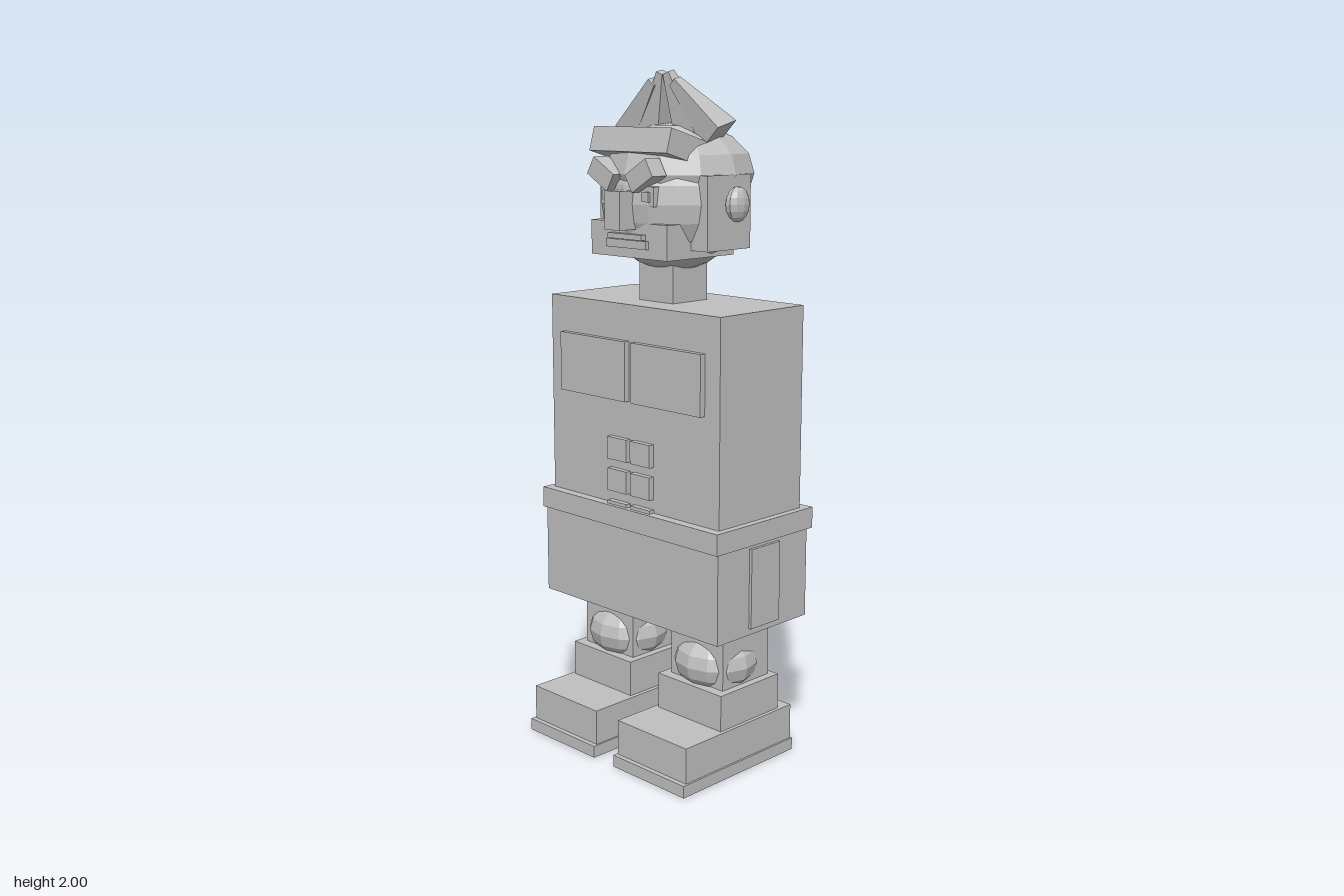
import * as THREE from 'three';

export function createModel() {
  const model = new THREE.Group();
  const plain = new THREE.MeshStandardMaterial({ color: 0xbfbfbf, flatShading: true });
  plain.name = 'plain grey';

  function add(name, geometry, x = 0, y = 0, z = 0) {
    const mesh = new THREE.Mesh(geometry, plain);
    mesh.name = name;
    mesh.position.set(x, y, z);
    model.add(mesh);
    return mesh;
  }
  // Box given by its limits on each axis
  function box(name, x0, x1, y0, y1, z0, z1) {
    return add(name, new THREE.BoxGeometry(x1 - x0, y1 - y0, z1 - z0),
      (x0 + x1) / 2, (y0 + y1) / 2, (z0 + z1) / 2);
  }
  // Box repeated on both sides of the body
  function pair(name, x0, x1, ...rest) {
    box(name + 'Left', x0, x1, ...rest);
    box(name + 'Right', -x1, -x0, ...rest);
  }
  function ellipsoid(name, x, y, z, rx, ry, rz, segments, rows) {
    return add(name, new THREE.SphereGeometry(1, segments, rows).scale(rx, ry, rz), x, y, z);
  }
  // Four-sided tapered lock of hair running from base to tip
  function spike(name, base, tip, baseHalf, tipHalf) {
    const direction = tip.clone().sub(base);
    const geometry = new THREE.CylinderGeometry(
      tipHalf * Math.SQRT2, baseHalf * Math.SQRT2, direction.length(), 4).rotateY(Math.PI / 4);
    const mesh = add(name, geometry);
    mesh.position.copy(base).add(tip).multiplyScalar(0.5);
    mesh.quaternion.setFromUnitVectors(new THREE.Vector3(0, 1, 0), direction.normalize());
  }

  // Torso with pockets and buttons
  box('torso', -0.345, 0.345, 0.75, 1.35, -0.2, 0.142);
  pair('chestPocket', 0.012, 0.288, 1.07, 1.245, 0.13, 0.16);
  for (const y of [0.7, 0.797, 0.892]) pair('button', 0.008, 0.088, y, y + 0.067, 0.13, 0.16);

  // Belt and skirt with side pockets
  box('belt', -0.366, 0.366, 0.695, 0.757, -0.233, 0.172);
  box('skirt', -0.36, 0.36, 0.43, 0.695, -0.215, 0.162);
  pair('sidePocket', 0.35, 0.369, 0.45, 0.685, -0.088, 0.032);

  // Legs and boots
  pair('leg', 0.083, 0.292, 0.24, 0.44, -0.13, 0.065);
  for (const s of [-1, 1])
    ellipsoid('knee', s * 0.187, 0.303, -0.015, 0.128, 0.092, 0.12, 12, 8);
  pair('bootShaft', 0.06, 0.315, 0.14, 0.25, -0.15, 0.097);
  pair('foot', 0.047, 0.326, 0.035, 0.142, -0.197, 0.25);
  pair('sole', 0.042, 0.332, 0, 0.036, -0.2, 0.265);

  // Neck and head
  box('neck', -0.068, 0.068, 1.34, 1.55, -0.095, 0.045);
  ellipsoid('head', 0, 1.635, -0.025, 0.216, 0.2, 0.198, 16, 12);
  pair('sideburn', 0.15, 0.216, 1.508, 1.715, -0.115, 0.06);
  box('jaw', -0.153, 0.153, 1.485, 1.583, -0.115, 0.153);
  for (const s of [-1, 1])
    ellipsoid('ear', s * 0.234, 1.635, -0.042, 0.026, 0.05, 0.043, 10, 8);

  // Face
  box('nose', -0.031, 0.031, 1.565, 1.672, 0.12, 0.215);
  box('lowerLip', -0.08, 0.08, 1.512, 1.535, 0.14, 0.164);
  box('upperLip', -0.068, 0.068, 1.537, 1.552, 0.14, 0.17);
  pair('eye', 0.052, 0.105, 1.63, 1.685, 0.1, 0.157);
  pair('pupil', 0.066, 0.092, 1.643, 1.67, 0.12, 0.165);
  for (const s of [-1, 1]) {
    const brow = add('eyebrow', new THREE.BoxGeometry(0.093, 0.055, 0.055), s * 0.077, 1.715, 0.16);
    brow.rotation.z = s * 0.53;
  }

  // Hair: cap, tilted fringe and swept crest
  ellipsoid('hairCap', 0, 1.715, -0.05, 0.222, 0.142, 0.217, 12, 8).rotation.y = Math.PI / 2;
  const cap = model.getObjectByName('hairCap');
  cap.scale.set(0.98, 1, 1.01);
  const fringe = add('fringe', new THREE.BoxGeometry(0.31, 0.07, 0.15), 0, 1.79, 0.075);
  fringe.rotation.x = -0.28;
  for (const s of [-1, 1]) {
    spike('outerLock', new THREE.Vector3(s * 0.17, 1.825, -0.035),
      new THREE.Vector3(s * 0.04, 1.968, 0.01), 0.042, 0.014);
    spike('innerLock', new THREE.Vector3(s * 0.075, 1.82, -0.035),
      new THREE.Vector3(s * 0.012, 1.993, 0.008), 0.042, 0.012);
  }
  return model;
}
